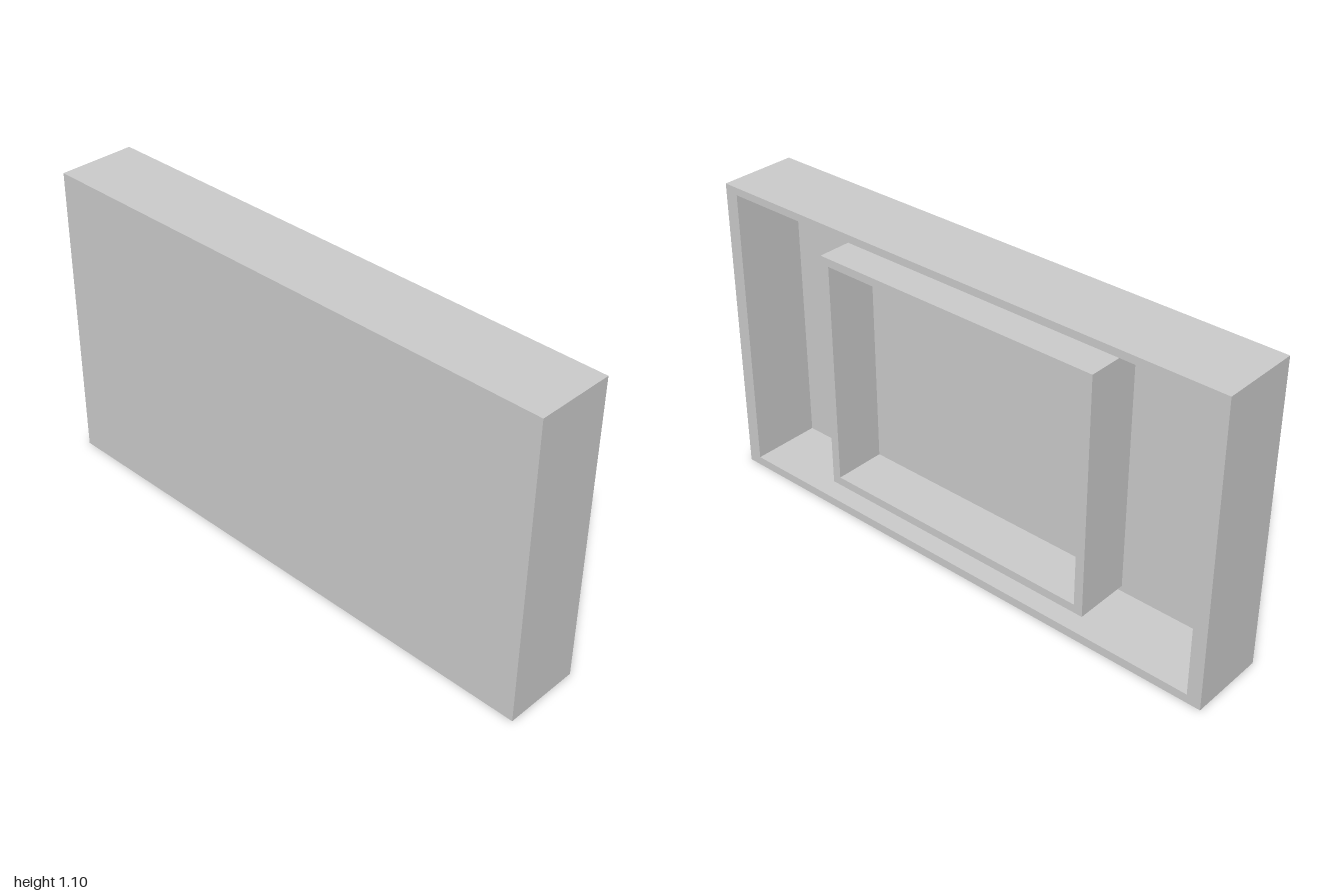
import * as THREE from 'three';

const material = new THREE.MeshStandardMaterial({ color: 0xcccccc });

// Rectangular cross-section at depth x, counter-clockwise seen from +x
function rectLoop(x, y0, y1, halfZ) {
  return [[x, y0, halfZ], [x, y0, -halfZ], [x, y1, -halfZ], [x, y1, halfZ]];
}

// Open tray facing +x: back, outer walls, rim, inner walls and floor
function tray(name, { back, floor, rim, outer, inner }) {
  const loops = [
    rectLoop(back, ...outer),
    rectLoop(rim, ...outer),
    rectLoop(rim, ...inner),
    rectLoop(floor, ...inner),
  ];
  const positions = [];
  const quad = (a, b, c, d) => positions.push(...a, ...b, ...c, ...a, ...c, ...d);

  for (let i = 0; i < loops.length - 1; i++) {
    const a = loops[i], b = loops[i + 1];
    for (let j = 0; j < 4; j++) {
      const k = (j + 1) % 4;
      quad(a[j], a[k], b[k], b[j]);
    }
  }
  quad(...[...loops[0]].reverse()); // back panel
  quad(...loops[3]); // tray floor

  const geometry = new THREE.BufferGeometry();
  geometry.setAttribute('position', new THREE.Float32BufferAttribute(positions, 3));
  geometry.computeVertexNormals();
  const mesh = new THREE.Mesh(geometry, material);
  mesh.name = name;
  return mesh;
}

export function createModel() {
  const model = new THREE.Group();
  model.name = 'nestedTrays';

  // outer and inner are [bottom, top, half width]
  model.add(tray('outerTray', {
    back: -0.144, floor: -0.122, rim: 0.138,
    outer: [0, 1.103, 1], inner: [0.032, 1.076, 0.949],
  }));

  // Smaller tray held clear of the outer floor, rim slightly proud
  model.add(tray('innerTray', {
    back: -0.06, floor: -0.048, rim: 0.144,
    outer: [0.114, 0.991, 0.55], inner: [0.145, 0.962, 0.517],
  }));

  return model;
}
